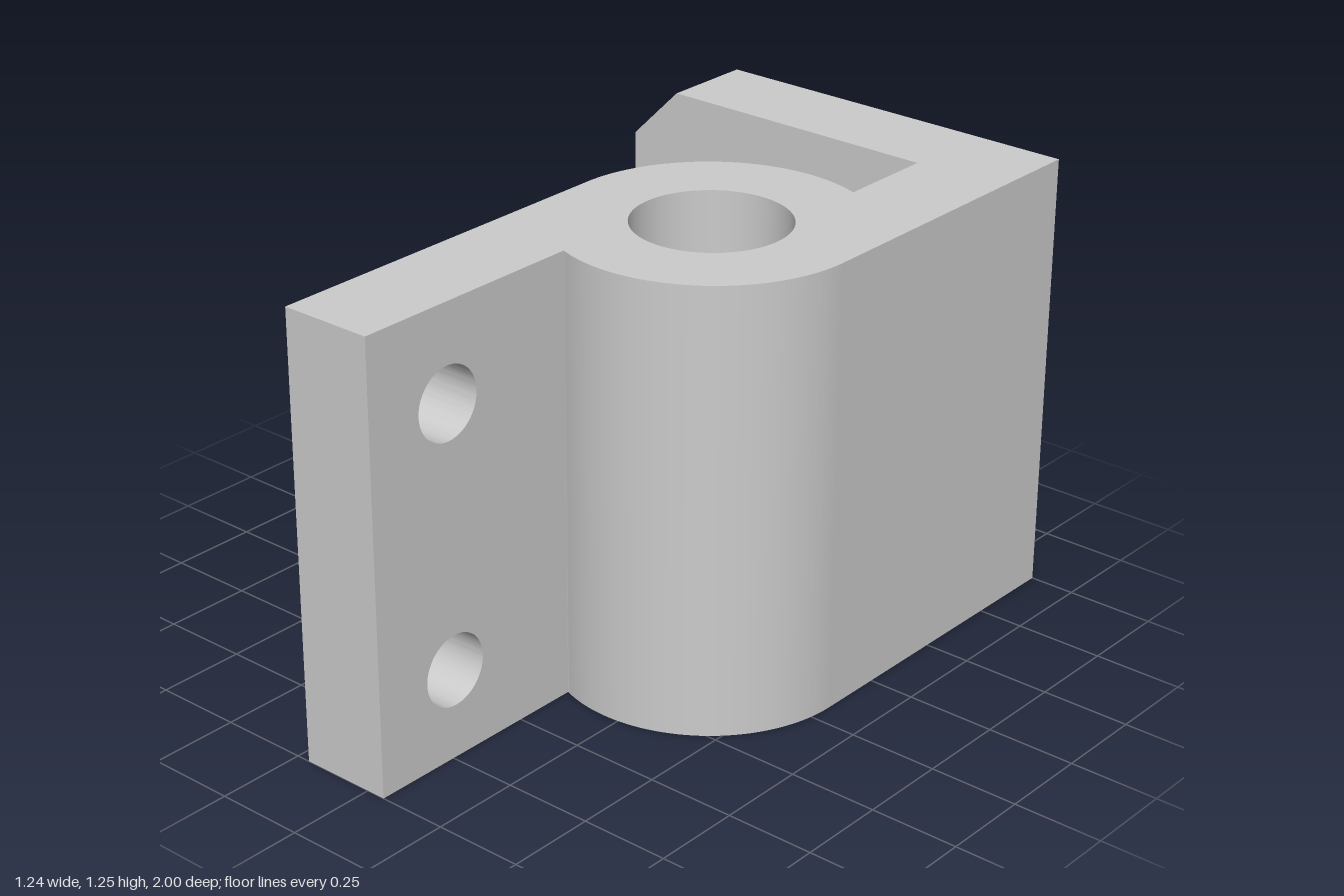
import * as THREE from 'three';
import { toCreasedNormals } from 'three/addons/utils/BufferGeometryUtils.js';

const HEIGHT = 1.25, WALL = 0.265;
const BARREL = { x: 0.205, z: -0.07, radius: 0.415, bore: 0.21 };

const material = new THREE.MeshStandardMaterial({ color: 0xcccccc });

function polygon(points) {
  return new THREE.Shape(points.map(([x, y]) => new THREE.Vector2(x, y)));
}

function addHole(shape, x, y, radius) {
  const hole = new THREE.Path();
  hole.absarc(x, y, radius, 0, Math.PI * 2, true);
  shape.holes.push(hole);
}

function extrude(shape, depth) {
  return new THREE.ExtrudeGeometry(shape, { depth, bevelEnabled: false, curveSegments: 40 });
}

function addPart(group, name, geometry) {
  const mesh = new THREE.Mesh(toCreasedNormals(geometry, Math.PI / 6), material);
  mesh.name = name;
  group.add(mesh);
}

export function createModel() {
  const group = new THREE.Group();
  group.name = 'hingeBracket';

  const { x: cx, z: cz, radius: r, bore } = BARREL;
  const left = cx - r, right = cx + r;
  // Where the inner face of each arm meets the barrel
  const dx = r - WALL, dz = Math.sqrt(r * r - dx * dx);
  const angle = Math.atan2(dz, dx);
  const plateStart = cz + dz;

  // Barrel with the tangent web running back, drawn in plan (shape y = -z)
  const body = new THREE.Shape();
  body.moveTo(left, -cz);
  body.lineTo(left, -plateStart);
  body.lineTo(left + WALL, -plateStart);
  body.absarc(cx, -cz, r, angle - Math.PI, 0, false);
  body.lineTo(right, 1 - WALL);
  body.lineTo(right - WALL, 1 - WALL);
  body.absarc(cx, -cz, r, angle, Math.PI, false);
  addHole(body, cx, -cz, bore);
  addPart(group, 'barrelAndWeb', extrude(body, HEIGHT).rotateX(-Math.PI / 2));

  // Front mounting plate with two screw holes, drawn in side view (shape x = -z)
  const plate = polygon([[-1, 0], [-plateStart, 0], [-plateStart, HEIGHT], [-1, HEIGHT]]);
  for (const y of [0.25, 0.985]) addHole(plate, -0.735, y, 0.1);
  addPart(group, 'mountingPlate', extrude(plate, WALL).rotateY(Math.PI / 2).translate(left, 0, 0));

  // Rear flange with chamfered free corners and one large hole
  const c = 0.15;
  const flange = polygon([
    [-right + c, 0], [right, 0], [right, HEIGHT],
    [-right + c, HEIGHT], [-right, HEIGHT - c], [-right, c],
  ]);
  addHole(flange, -0.085, 0.635, 0.215);
  addPart(group, 'rearFlange', extrude(flange, WALL).translate(0, 0, -1));

  return group;
}
